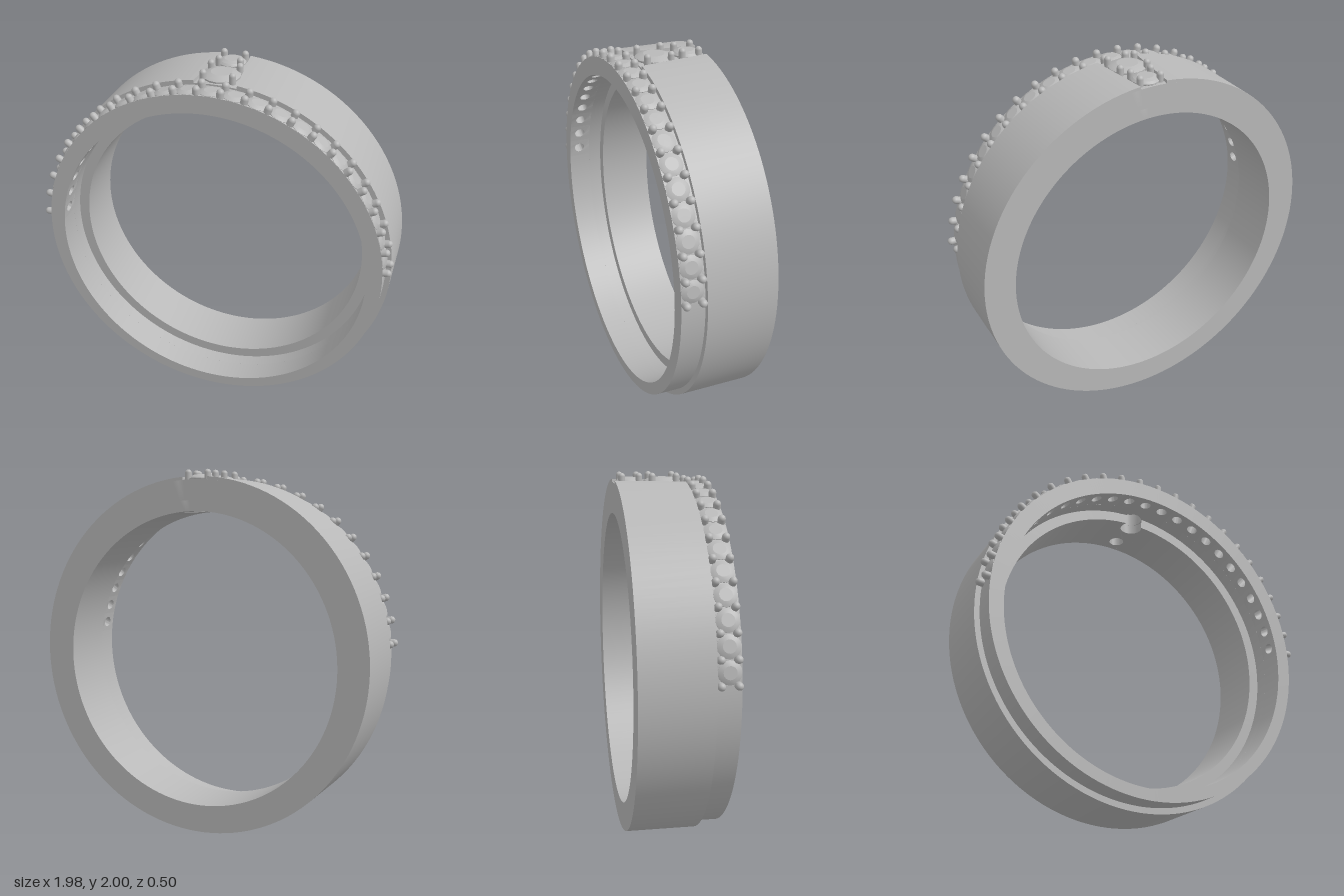
import * as THREE from 'three';
import { toCreasedNormals } from 'three/addons/utils/BufferGeometryUtils.js';

const BACK = -0.25, JOIN = 0.125, FRONT = 0.25, LEDGE = 0.05;
const IN = 0.812, MID = 0.871, OUT = 0.981, BAND = 0.952, FLOOR = 0.965;
const IN_Y = 0.966, MAIN_Y = 0.981, BAND_Y = 0.985;
const PITCH = THREE.MathUtils.degToRad(7.39), TOP = THREE.MathUtils.degToRad(8);

export function createModel() {
  const model = new THREE.Group();
  model.name = 'ring';
  const silver = new THREE.MeshStandardMaterial({ color: 0xb8b8b8 });
  silver.name = 'silver';

  const add = (name, geometry, parent = model) => {
    const mesh = new THREE.Mesh(geometry, silver);
    mesh.name = name;
    parent.add(mesh);
    return mesh;
  };

  // The bore sits slightly lower than the outer circle, so the centre moves with the radius
  const centre = (r, outR, outY) =>
    THREE.MathUtils.lerp(IN_Y, outY, THREE.MathUtils.clamp((r - MID) / (outR - MID), 0, 1));

  // Plain arc of a ring swept from a [radius, z] profile
  function arc(profile, start, length, outR, outY) {
    const g = new THREE.LatheGeometry(profile.map(([r, z]) => new THREE.Vector2(r, -z)), 120, start, length);
    g.rotateX(-Math.PI / 2);
    const p = g.attributes.position;
    for (let i = 0; i < p.count; i++) {
      const r = Math.hypot(p.getX(i), p.getY(i));
      p.setY(i, p.getY(i) + centre(r, outR, outY));
    }
    return toCreasedNormals(g, 0.6);
  }

  // Flat shape (x = arc length, y = -z) extruded outwards and bent round the ring
  function bent(shape, r0, r1, refR, outR, outY, turn = 0) {
    const g = new THREE.ExtrudeGeometry(shape, { depth: 1, bevelEnabled: false, curveSegments: 20 });
    const p = g.attributes.position;
    for (let i = 0; i < p.count; i++) {
      const a = p.getX(i) / refR + turn, r = THREE.MathUtils.lerp(r0, r1, p.getZ(i));
      p.setXYZ(i, r * Math.sin(a), centre(r, outR, outY) + r * Math.cos(a), -p.getY(i));
    }
    return toCreasedNormals(g, 0.6);
  }

  // Four-sided outline with divided edges: half widths at the back and front
  function outline(leftBack, rightBack, leftFront, rightFront, zBack, zFront, notch) {
    const n = 8, pts = [];
    for (let i = 0; i <= n; i++)
      pts.push(new THREE.Vector2(THREE.MathUtils.lerp(leftFront, rightFront, i / n), -zFront));
    if (notch) {
      // Half-round bite where a stone hole crosses the front edge
      const half = Math.sqrt(notch.r ** 2 - (zFront - notch.z) ** 2);
      const a0 = Math.atan2(notch.z - zFront, -half) + Math.PI * 2, a1 = Math.atan2(notch.z - zFront, half);
      const keepL = pts.filter(p => p.x < -half - 0.002), keepR = pts.filter(p => p.x > half + 0.002);
      pts.length = 0;
      pts.push(...keepL);
      for (let i = 0; i <= 20; i++) {
        const a = THREE.MathUtils.lerp(a0, a1, i / 20);
        pts.push(new THREE.Vector2(notch.r * Math.cos(a), -notch.z + notch.r * Math.sin(a)));
      }
      pts.push(...keepR);
    }
    for (let i = 0; i <= n; i++)
      pts.push(new THREE.Vector2(THREE.MathUtils.lerp(rightBack, leftBack, i / n), -zBack));
    return new THREE.Shape(pts);
  }
  const drill = (shape, z, r) => {
    shape.holes.push(new THREE.Path().absarc(0, -z, r, 0, Math.PI * 2, true));
    return shape;
  };

  // Wide main band, with a stepped bore
  add('mainBand', arc([[IN, LEDGE], [MID, LEDGE], [MID, JOIN], [OUT, JOIN], [OUT, BACK], [IN, BACK], [IN, LEDGE]],
    TOP, Math.PI * 2 - 2 * TOP, FLOOR, MAIN_Y));

  // Top of the main band: drilled layers and a tapered recess
  const big = { z: 0.015, r: 0.062 }, small = { z: -0.165, r: 0.042 };
  const layer = (r0, r1, shape, refR, name) => add(name, bent(shape, r0, r1, refR, FLOOR, MAIN_Y));
  const wi = TOP * IN, wo = TOP * OUT;
  layer(IN, MID, drill(outline(-wi, wi, -wi, wi, BACK, LEDGE, big), small.z, small.r), IN, 'innerSeat');
  const wm = TOP * MID;
  layer(MID, FLOOR, drill(drill(outline(-wm, wm, -wm, wm, BACK, JOIN), small.z, small.r), big.z, big.r), MID, 'recessFloor');
  layer(FLOOR, OUT, outline(-wo, -0.075, -wo, -0.115, BACK, JOIN), OUT, 'rightRecessWall');
  layer(FLOOR, OUT, outline(0.075, wo, 0.115, wo, BACK, JOIN), OUT, 'leftRecessWall');

  // Narrow front band: plain below, drilled under each stone above
  const zone = 11.5 * PITCH;
  add('frontBand', arc([[MID, FRONT], [BAND, FRONT], [BAND, JOIN], [MID, JOIN], [MID, FRONT]],
    zone, Math.PI * 2 - 2 * zone, BAND, BAND_Y));
  const w = PITCH * MID / 2;
  for (let k = -11; k <= 11; k++) {
    const seat = drill(outline(-w, w, -w, w, JOIN, FRONT), 0.19, 0.03);
    add('stoneSeat', bent(seat, MID, BAND, MID, BAND, BAND_Y, k * PITCH));
  }

  // Round cut stone: pointed below, flat table on top
  function stone(r, rise) {
    const profile = [[0, -0.8 * r], [0.55 * r, -0.4 * r], [r, -0.04 * r], [r, 0.04 * r],
      [0.84 * r, 0.6 * rise], [0.56 * r, rise], [0, rise]];
    return toCreasedNormals(new THREE.LatheGeometry(profile.map(([x, y]) => new THREE.Vector2(x, y)), 16), 0.3);
  }
  function place(mesh, angle, r, cy, z) {
    mesh.position.set(r * Math.sin(angle), cy + r * Math.cos(angle), z);
    mesh.rotation.z = -angle;
  }

  // Row of stones and paired prongs over the front band
  const row = new THREE.Group();
  row.name = 'stoneRow';
  model.add(row);
  const rowStone = stone(0.06, 0.013), rowProng = new THREE.CapsuleGeometry(0.02, 0.045, 6, 14);
  for (let k = -11; k <= 11; k++) place(add('rowStone', rowStone, row), k * PITCH, 0.951, BAND_Y, 0.19);
  for (let k = -12; k < 12; k++)
    for (const z of [0.145, 0.23])
      place(add('rowProng', rowProng, row), (k + 0.5) * PITCH, 0.953, BAND_Y, z);

  // Two graduated stones in the recess, each held by four prongs
  const centreProng = new THREE.CapsuleGeometry(0.018, 0.05, 6, 14);
  for (const [name, z, r, px, pz] of [['largeStone', 0.015, 0.1, 0.078, 0.065], ['smallStone', -0.165, 0.075, 0.058, 0.046]]) {
    const setting = new THREE.Group();
    setting.name = name + 'Setting';
    model.add(setting);
    add(name, stone(r, 0.022), setting).position.set(0, 1.951, z);
    for (const sx of [-1, 1])
      for (const sz of [-1, 1])
        add('prong', centreProng, setting).position.set(sx * px, 1.957, z + sz * pz);
  }
  return model;
}
